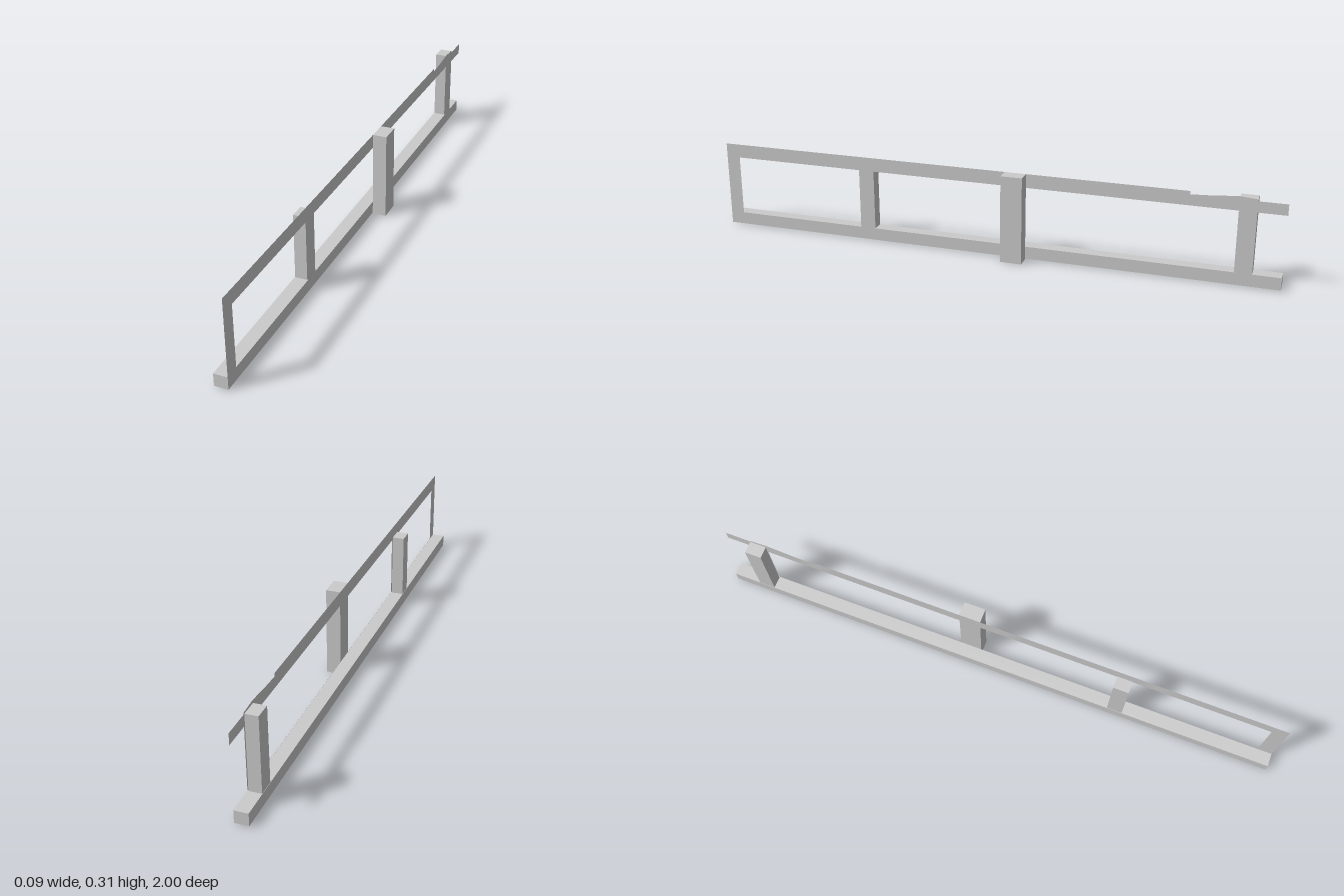
import * as THREE from 'three';

const material = new THREE.MeshStandardMaterial({ color: 0xcccccc, flatShading: true });
const sheetMaterial = new THREE.MeshStandardMaterial({
  color: 0xcccccc, flatShading: true, side: THREE.DoubleSide,
});

// Box given by its extents along each axis
function block(name, [x0, x1], [y0, y1], [z0, z1]) {
  const mesh = new THREE.Mesh(new THREE.BoxGeometry(x1 - x0, y1 - y0, z1 - z0), material);
  mesh.position.set((x0 + x1) / 2, (y0 + y1) / 2, (z0 + z1) / 2);
  mesh.name = name;
  return mesh;
}

const points = (list) => list.map(([u, y]) => new THREE.Vector2(u, y));

// Rectangular opening in the sheet
function opening(u0, u1, y0, y1) {
  return new THREE.Path(points([[u0, y0], [u0, y1], [u1, y1], [u1, y0]]));
}

export function createModel() {
  const group = new THREE.Group();
  group.name = 'fenceSection';

  const railTop = 0.046;
  const beamBottom = 0.26;

  // Long bottom rail
  group.add(block('bottomRail', [-0.048, -0.002], [0.003, railTop], [-1, 1]));

  // Tall outer post and the two inner posts behind the sheet
  group.add(block('outerPost', [-0.002, 0.047], [0, 0.309], [-0.14, -0.065]));
  group.add(block('frontInnerPost', [-0.047, -0.005], [railTop, 0.273], [0.42, 0.474]));
  group.add(block('rearInnerPost', [-0.047, -0.005], [railTop, 0.303], [-0.905, -0.847]));

  // Thin upright frame: worn top edge, open rear end (u runs towards the back)
  const outline = new THREE.Shape(points([
    [-1, railTop], [0.905, railTop], [0.905, beamBottom], [1, beamBottom],
    [1, 0.298], [0.905, 0.298], [0.905, 0.304], [0.845, 0.309],
    [0.75, 0.301], [0.69, 0.298], [0.69, 0.309], [-1, 0.309],
  ]));
  outline.holes.push(
    opening(-0.95, -0.474, railTop + 0.0005, beamBottom),
    opening(-0.42, 0.847, railTop + 0.0005, beamBottom),
  );
  const sheet = new THREE.Mesh(new THREE.ShapeGeometry(outline), sheetMaterial);
  sheet.rotation.y = Math.PI / 2;
  sheet.position.x = -0.002;
  sheet.name = 'topBeamFrame';
  group.add(sheet);

  return group;
}
